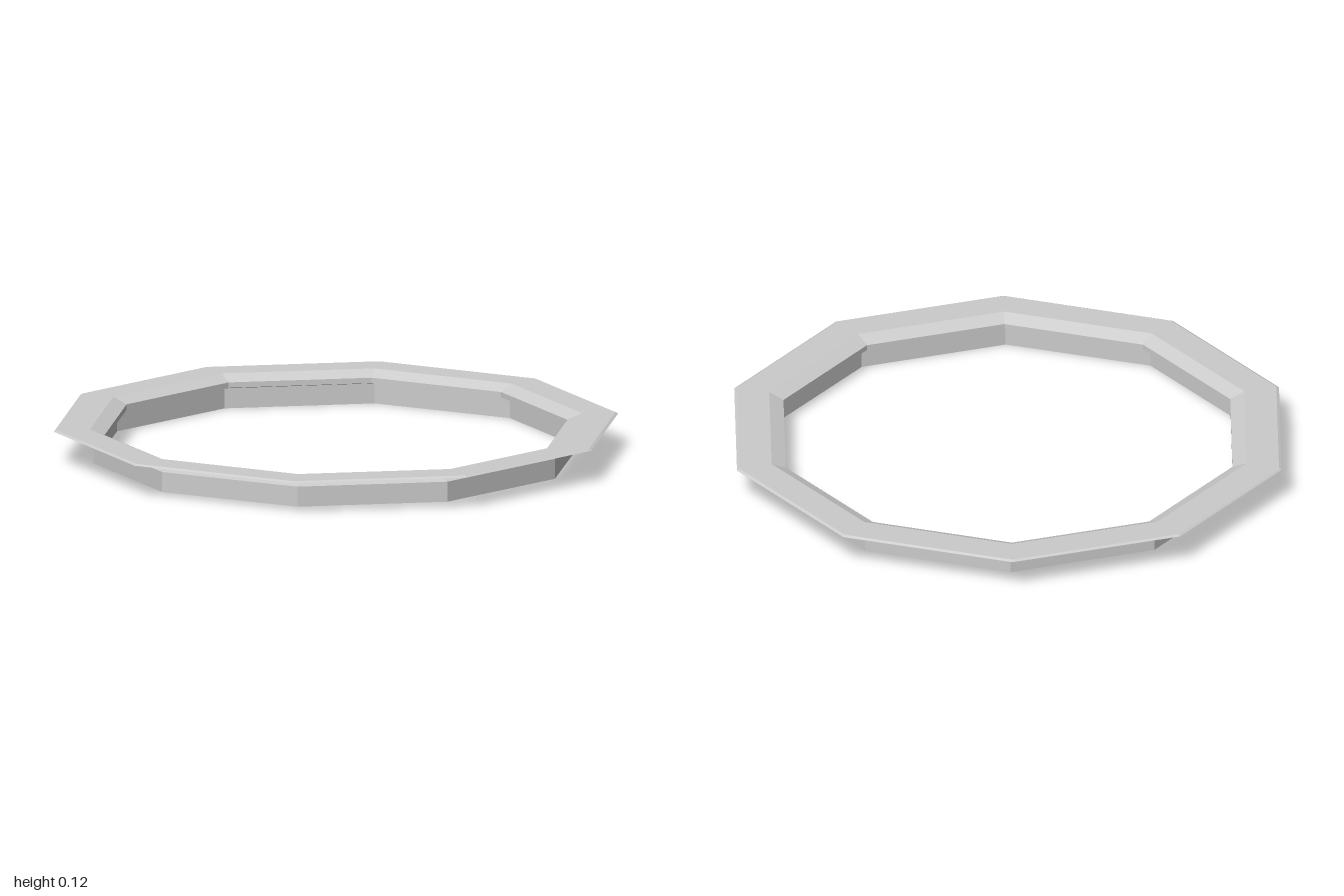
import * as THREE from 'three';

const SIDES = 10;
const SQUEEZE = 0.988; // the upper rings are slightly narrower across x

const material = new THREE.MeshStandardMaterial({
  color: 0xcccccc, flatShading: true, side: THREE.DoubleSide,
});

// Ten-sided thin ring from profile points [radius, y, x scale]
function ring(name, profile) {
  const points = profile.map(([r, y]) => new THREE.Vector2(r, y));
  const geometry = new THREE.LatheGeometry(points, SIDES);
  const pos = geometry.attributes.position;
  for (let i = 0; i < pos.count; i++) {
    pos.setX(i, pos.getX(i) * profile[i % profile.length][2]);
  }
  const flat = geometry.toNonIndexed();
  flat.computeVertexNormals();
  const mesh = new THREE.Mesh(flat, material);
  mesh.name = name;
  return mesh;
}

export function createModel() {
  const model = new THREE.Group();
  model.name = 'decagonalRing';

  const rimEdge = [0.99, 0.12, SQUEEZE];
  const lipTop = [0.872, 0.12, SQUEEZE];
  const neckTop = [0.82, 0.098, SQUEEZE];
  const neckBottom = [0.82, 0.079, SQUEEZE];
  const wallTop = [0.851, 0.071, 1];

  model.add(
    // upright outer band, open underneath
    ring('baseWall', [[0.851, 0, 1], wallTop]),
    // shallow shelf running inward to the neck
    ring('shelf', [wallTop, neckBottom]),
    ring('neck', [neckBottom, neckTop]),
    // sloped inner lip under the wide flange
    ring('innerLip', [neckTop, lipTop]),
    ring('flange', [lipTop, rimEdge]),
    // thin turned-down edge
    ring('flangeEdge', [rimEdge, [1, 0.115, SQUEEZE]]),
  );
  return model;
}
